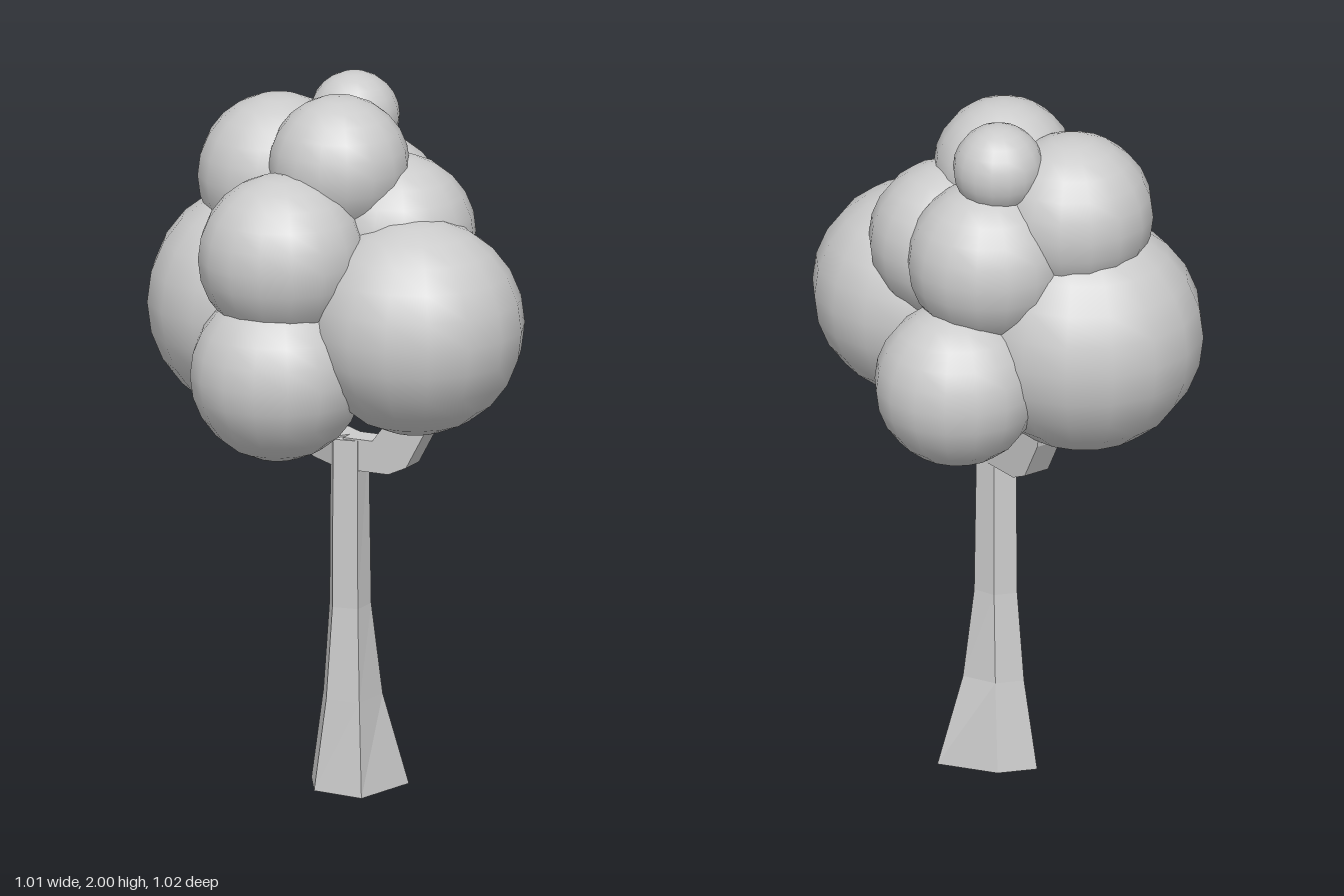
import * as THREE from 'three';

const material = new THREE.MeshStandardMaterial({ color: 0xcccccc });

function addPart(parent, name, geometry) {
  const mesh = new THREE.Mesh(geometry, material);
  mesh.name = name;
  parent.add(mesh);
  return mesh;
}

// Faceted solid through cross-sections of [x, z] corners at rising heights
function loft(sections) {
  const n = sections[0].corners.length;
  const positions = [], index = [];
  for (const { y, corners } of sections) {
    for (const [x, z] of corners) positions.push(x, y, z);
  }
  const top = (sections.length - 1) * n;
  for (let s = 0; s < top; s += n) {
    for (let i = 0; i < n; i++) {
      const a = s + i, b = s + (i + 1) % n;
      index.push(a, a + n, b, b, a + n, b + n);
    }
  }
  for (let i = 1; i < n - 1; i++) {
    index.push(0, i, i + 1, top, top + i + 1, top + i);
  }
  const indexed = new THREE.BufferGeometry();
  indexed.setAttribute('position', new THREE.Float32BufferAttribute(positions, 3));
  indexed.setIndex(index);
  const geometry = indexed.toNonIndexed();
  geometry.computeVertexNormals();
  return geometry;
}

export function createModel() {
  const tree = new THREE.Group();
  tree.name = 'tree';

  // Five-sided trunk, flared at the foot
  addPart(tree, 'trunk', loft([
    { y: 0, corners: [[0.205, 0], [0.055, 0.15], [-0.065, 0.05], [-0.055, -0.1], [0.058, -0.1]] },
    { y: 0.26, corners: [[0.132, 0], [0.055, 0.1], [-0.03, 0.04], [-0.025, -0.07], [0.057, -0.07]] },
    { y: 0.52, corners: [[0.1, 0], [0.055, 0.064], [-0.012, 0.032], [-0.01, -0.052], [0.056, -0.052]] },
    { y: 1, corners: [[0.093, 0], [0.055, 0.06], [-0.01, 0.03], [-0.008, -0.045], [0.055, -0.045]] },
  ]));

  // Two angular arms of the fork, bending up into the crown
  const profile = new THREE.Shape([
    [0, 0.915], [0.14, 0.915], [0.195, 0.94], [0.255, 1.05], [0.28, 1.2],
    [0.19, 1.2], [0.14, 1.07], [0.09, 1.005], [0, 1.005],
  ].map(([x, y]) => new THREE.Vector2(x, y)));
  const armGeometry = new THREE.ExtrudeGeometry(profile, { depth: 0.08, bevelEnabled: false });
  armGeometry.translate(0, 0, -0.04);
  for (const [name, dx, dz] of [['frontBranch', 0.18, 0.12], ['backBranch', -0.08, -0.2]]) {
    const arm = addPart(tree, name, armGeometry);
    arm.position.x = 0.04;
    arm.rotation.y = Math.atan2(-dz, dx);
  }

  // Crown of overlapping smooth leaf balls: x, y, z, radius
  const crown = new THREE.Group();
  crown.name = 'crown';
  tree.add(crown);
  const balls = [
    [-0.17, 1.355, -0.175, 0.335],
    [0.2, 1.365, 0.205, 0.305],
    [-0.18, 1.23, 0.165, 0.245],
    [0.205, 1.26, -0.23, 0.232],
    [-0.165, 1.555, 0.14, 0.235],
    [0.165, 1.585, 0.025, 0.225],
    [0.102, 1.6, -0.172, 0.228],
    [-0.138, 1.715, -0.17, 0.227],
    [0.007, 1.785, 0.03, 0.197],
    [0.073, 1.873, -0.17, 0.127],
  ];
  balls.forEach(([x, y, z, r], i) => {
    const ball = addPart(crown, `leafBall${i + 1}`, new THREE.SphereGeometry(r, 16, 12));
    ball.position.set(x, y, z);
  });

  return tree;
}
